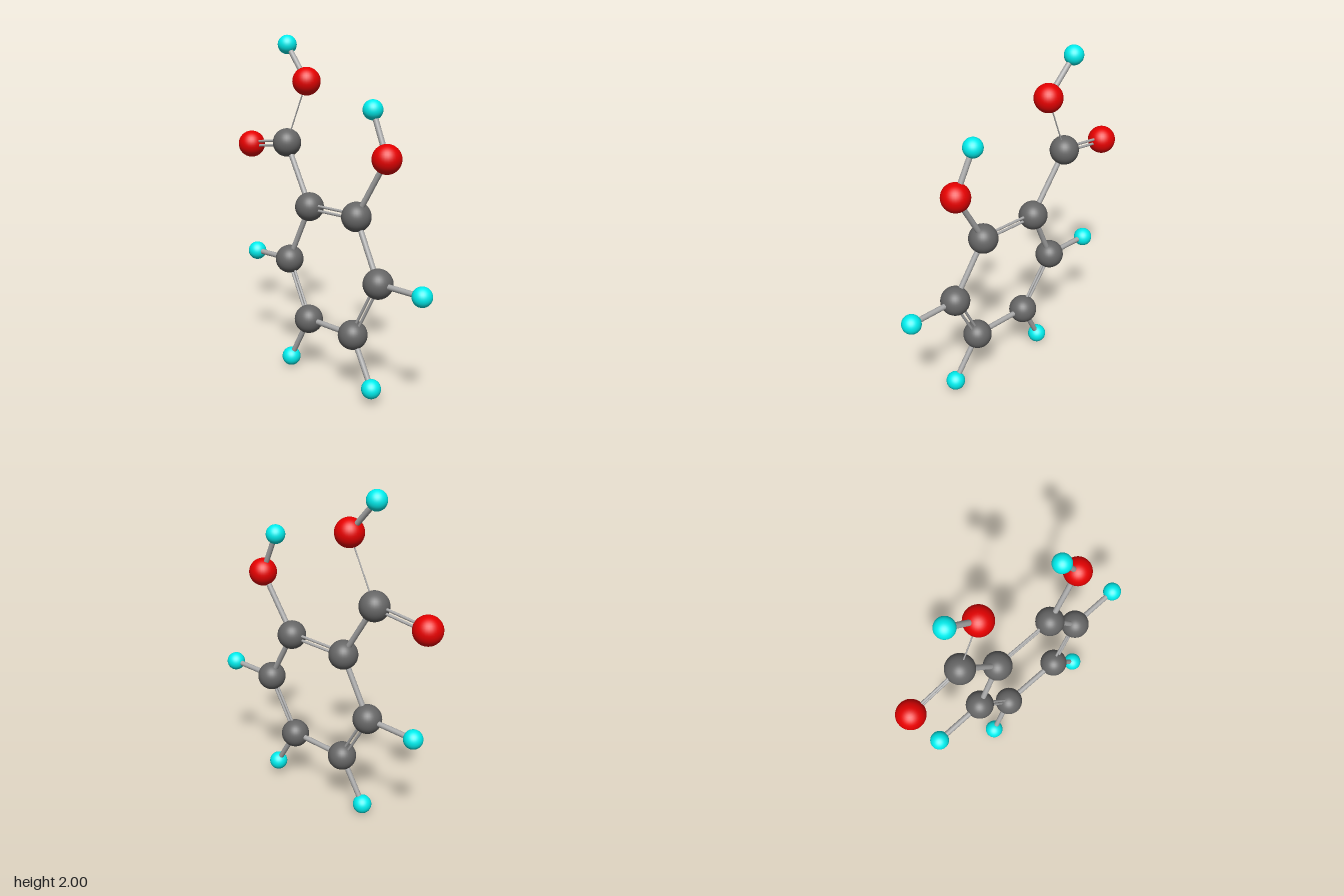
import * as THREE from 'three';

// Kinds of ball: radius and colour
const KINDS = {
  carbon: { radius: 0.085, color: 0x666666 },
  oxygen: { radius: 0.082, color: 0xe60000 },
  hydrogen: { radius: 0.056, color: 0x00eeee },
};

// Ball positions: ring, acid group, hydroxyl group, outer hydrogens
const ATOMS = {
  ring1: ['carbon', -0.16, 1.02, -0.01],
  ring2: ['carbon', 0.24, 1.035, 0.02],
  ring3: ['carbon', 0.44, 0.70, 0.06],
  ring4: ['carbon', 0.26, 0.355, 0.065],
  ring5: ['carbon', -0.125, 0.34, 0.035],
  ring6: ['carbon', -0.33, 0.665, -0.005],
  acidCarbon: ['carbon', -0.39, 1.37, -0.05],
  acidOxygen: ['oxygen', -0.735, 1.32, -0.07],
  acidHydroxylOxygen: ['oxygen', -0.225, 1.745, -0.055],
  acidHydrogen: ['hydrogen', -0.41, 1.945, -0.08],
  hydroxylOxygen: ['oxygen', 0.45, 1.385, 0.015],
  hydroxylHydrogen: ['hydrogen', 0.33, 1.635, -0.005],
  hydrogen3: ['hydrogen', 0.76, 0.71, 0.08],
  hydrogen4: ['hydrogen', 0.43, 0.087, 0.095],
  hydrogen5: ['hydrogen', -0.275, 0.057, 0.04],
  hydrogen6: ['hydrogen', -0.65, 0.648, -0.025],
};

const SINGLE = [
  ['ring2', 'ring3'], ['ring4', 'ring5'], ['ring6', 'ring1'],
  ['ring1', 'acidCarbon'], ['acidHydroxylOxygen', 'acidHydrogen'],
  ['ring2', 'hydroxylOxygen'], ['hydroxylOxygen', 'hydroxylHydrogen'],
  ['ring3', 'hydrogen3'], ['ring4', 'hydrogen4'],
  ['ring5', 'hydrogen5'], ['ring6', 'hydrogen6'],
];
const DOUBLE = [
  ['ring1', 'ring2'], ['ring3', 'ring4'], ['ring5', 'ring6'],
  ['acidCarbon', 'acidOxygen'],
];
const THIN = [['acidCarbon', 'acidHydroxylOxygen']];

export function createModel() {
  const model = new THREE.Group();
  const bondMaterial = new THREE.MeshStandardMaterial({ color: 0xaaaaaa });
  const at = (name) => new THREE.Vector3(...ATOMS[name].slice(1));

  // Balls
  for (const kind of Object.values(KINDS)) {
    kind.geometry = new THREE.SphereGeometry(kind.radius, 32, 20);
    kind.material = new THREE.MeshStandardMaterial({ color: kind.color });
  }
  for (const name of Object.keys(ATOMS)) {
    const kind = KINDS[ATOMS[name][0]];
    const ball = new THREE.Mesh(kind.geometry, kind.material);
    ball.name = name;
    ball.position.copy(at(name));
    model.add(ball);
  }

  // Rod between two balls, shifted sideways in the plane of the ring
  const addBond = ([from, to], radius, shift, name) => {
    const a = at(from);
    const b = at(to);
    const dir = b.clone().sub(a);
    const length = dir.length();
    dir.normalize();
    const planeNormal = new THREE.Vector3(-0.11, 0.05, 1).normalize();
    const side = new THREE.Vector3().crossVectors(planeNormal, dir).normalize();
    const rod = new THREE.Mesh(new THREE.CylinderGeometry(radius, radius, length, 16), bondMaterial);
    rod.name = name;
    rod.position.copy(a).add(b).multiplyScalar(0.5).addScaledVector(side, shift);
    rod.quaternion.setFromUnitVectors(new THREE.Vector3(0, 1, 0), dir);
    model.add(rod);
  };

  for (const pair of SINGLE) addBond(pair, 0.016, 0, 'singleBond');
  for (const pair of THIN) addBond(pair, 0.004, 0, 'thinBond');
  for (const pair of DOUBLE) {
    for (const s of [-1, 1]) addBond(pair, 0.008, s * 0.0135, 'doubleBond');
  }
  return model;
}
